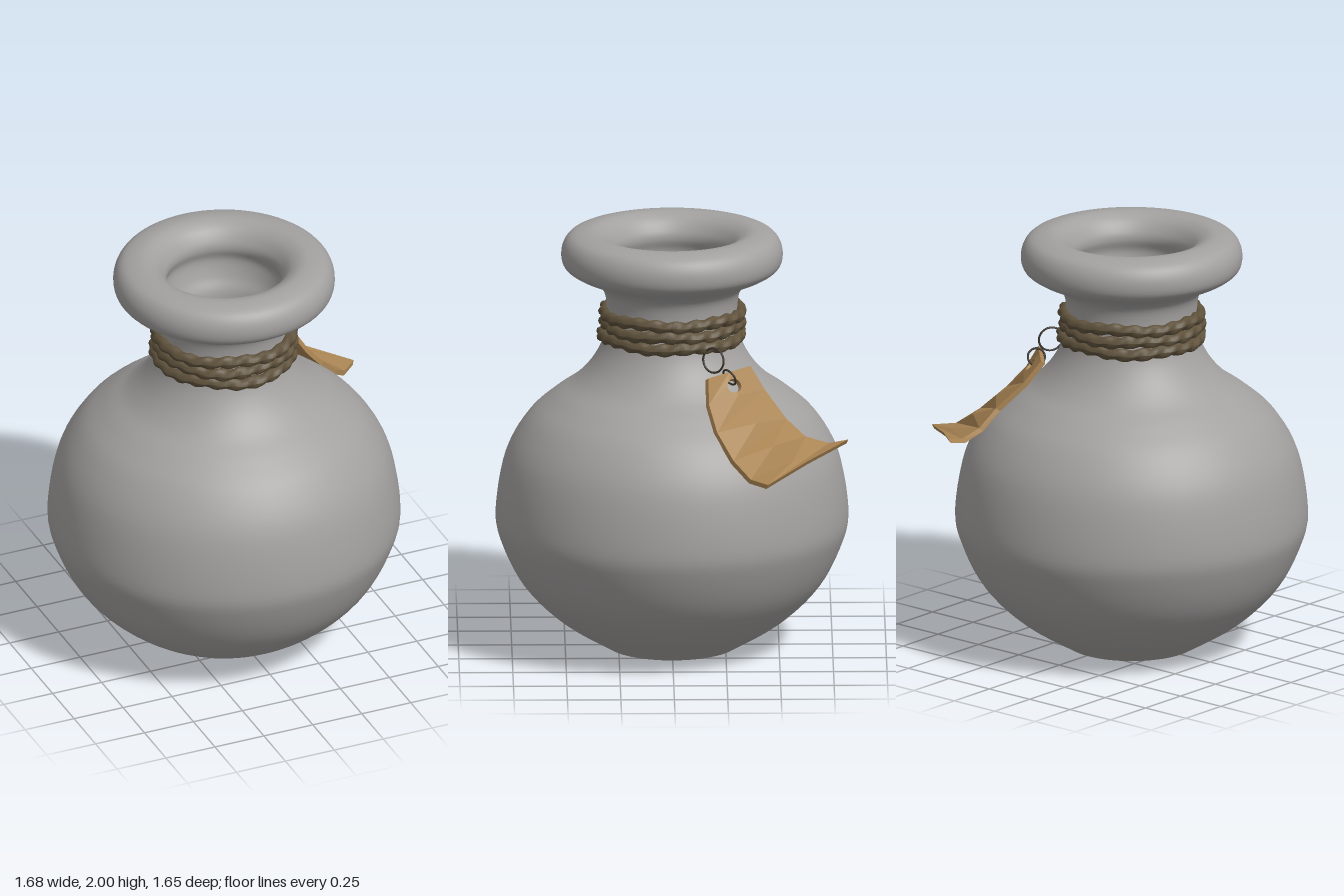
import * as THREE from 'three';

const V = (x, y, z) => new THREE.Vector3(x, y, z);
const AXIS_X = -0.015;

// Smooth lathe through a few [radius, height] points
function lathe(points, samples, material, name) {
  const curve = new THREE.SplineCurve(points.map(([r, y]) => new THREE.Vector2(r, y)));
  const profile = curve.getPoints(samples);
  profile.forEach((p) => { p.x = Math.max(p.x, 0); p.y = Math.max(p.y, 0); });
  const mesh = new THREE.Mesh(new THREE.LatheGeometry(profile, 72), material);
  mesh.name = name;
  return mesh;
}

// Torus around the y axis whose round section is reshaped into twisted strands
function ropeLoop(radius, thickness, phase) {
  const rings = 180, sides = 12;
  const geometry = new THREE.TorusGeometry(radius, thickness, sides, rings);
  const pos = geometry.attributes.position;
  for (let j = 0; j <= sides; j++) {
    for (let i = 0; i <= rings; i++) {
      const a = (i / rings) * Math.PI * 2, b = (j / sides) * Math.PI * 2;
      const t = thickness * (1 + 0.17 * Math.cos(2 * b - 22 * a + phase));
      const r = radius + t * Math.cos(b) + 0.004 * Math.sin(3 * a + phase);
      const y = t * Math.sin(b) + 0.005 * Math.sin(5 * a + phase);
      pos.setXYZ(j * (rings + 1) + i, r * Math.cos(a), y, -r * Math.sin(a));
    }
  }
  geometry.computeVertexNormals();
  return geometry;
}

// Thin wire ring lying in the plane spanned by two directions
function wireRing(center, u, v, radius, material, name) {
  const mesh = new THREE.Mesh(new THREE.TorusGeometry(radius, 0.005, 8, 32), material);
  const n = u.clone().cross(v).normalize();
  const x = u.clone().normalize();
  mesh.quaternion.setFromRotationMatrix(new THREE.Matrix4().makeBasis(x, n.clone().cross(x), n));
  mesh.position.copy(center);
  mesh.name = name;
  return mesh;
}

// Folded slab between two rows of left, middle and right points
function tagSegment(top, bottom, topNormal, bottomNormal, hole) {
  const shape = new THREE.Shape();
  [[0, 0], [0.5, 0], [1, 0], [1, 1], [0.5, 1], [0, 1]].forEach(([x, y], i) =>
    i ? shape.lineTo(x, y) : shape.moveTo(x, y));
  shape.closePath();
  if (hole) {
    const path = new THREE.Path();
    path.absellipse(0.5, 0.58, 0.13, 0.28, 0, Math.PI * 2, true);
    shape.holes.push(path);
  }
  const geometry = new THREE.ExtrudeGeometry(shape, { depth: 1, bevelEnabled: false, curveSegments: 10 });
  const pos = geometry.attributes.position;
  const along = (row, u) => (u < 0.5
    ? row[0].clone().lerp(row[1], u * 2)
    : row[1].clone().lerp(row[2], u * 2 - 1));
  for (let i = 0; i < pos.count; i++) {
    const u = pos.getX(i), v = pos.getY(i), w = pos.getZ(i);
    const p = along(top, u).lerp(along(bottom, u), v);
    p.addScaledVector(topNormal.clone().lerp(bottomNormal, v), 0.024 * (w - 1));
    pos.setXYZ(i, p.x, p.y, p.z);
  }
  geometry.computeVertexNormals();
  return geometry;
}

export function createModel() {
  const model = new THREE.Group();
  model.name = 'potionBottle';
  const mat = (name, color, extra = {}) => {
    const m = new THREE.MeshStandardMaterial({ color, ...extra });
    m.name = name;
    return m;
  };
  const glass = mat('grey glass', 0xa3a1a0);
  const green = mat('green liquid', 0x10dc10);
  const ropeBrown = mat('rope brown', 0x5f523c);
  const tagTan = mat('tag tan', 0xaa8554);
  const wire = mat('dark wire', 0x3c362e);

  const bottle = new THREE.Group();
  bottle.name = 'bottle';
  bottle.position.x = AXIS_X;
  model.add(bottle);

  // Glass shell: outside wall, rolled lip, then inside wall
  bottle.add(lathe([
    [0.305, 0], [0.53, 0.14], [0.7, 0.31], [0.8, 0.51], [0.825, 0.66], [0.78, 0.92],
    [0.68, 1.1], [0.56, 1.21], [0.45, 1.29], [0.365, 1.39], [0.315, 1.51], [0.31, 1.68], [0.355, 1.755],
    [0.455, 1.8], [0.51, 1.845], [0.515, 1.92], [0.475, 1.98], [0.385, 2], [0.32, 1.975],
    [0.28, 1.925], [0.27, 1.88], [0.285, 1.82], [0.265, 1.74], [0.23, 1.66], [0.23, 1.52],
    [0.29, 1.38], [0.4, 1.23], [0.62, 1.06], [0.72, 0.9], [0.765, 0.66], [0.64, 0.34],
    [0.3, 0.07], [0, 0.06],
  ], 160, glass, 'glassShell'));

  // Flat base
  const base = new THREE.Mesh(new THREE.CircleGeometry(0.305, 72), glass);
  base.rotation.x = Math.PI / 2;
  base.name = 'base';
  bottle.add(base);

  // Liquid with a gently domed surface
  bottle.add(lathe([
    [0, 0.09], [0.28, 0.1], [0.6, 0.36], [0.74, 0.66], [0.71, 0.86], [0.66, 0.9], [0.4, 0.96], [0, 1],
  ], 50, green, 'liquid'));

  // Three twisted rope loops round the neck
  [[0.32, 1.506], [0.315, 1.56], [0.315, 1.615]].forEach(([r, y], i) => {
    const loop = new THREE.Mesh(ropeLoop(r, 0.028, i * 2.1), ropeBrown);
    loop.position.y = y;
    loop.name = 'ropeLoop' + (i + 1);
    bottle.add(loop);
  });

  // Wire rings linking the rope and the tag
  model.add(wireRing(V(0.32, 1.46, -0.19), V(0.5, -0.65, -0.6), V(0.3, 0.7, -0.55), 0.058, wire, 'largeRing'));
  model.add(wireRing(V(0.345, 1.385, -0.265), V(0.4, 0.8, 0.1), V(0.5, -0.3, -0.6), 0.04, wire, 'smallRing'));

  // Torn, curled paper tag with a punched hole
  const tag = new THREE.Group();
  tag.name = 'tag';
  const rows = [
    [V(0.23, 1.41, -0.365), V(0.325, 1.405, -0.265), V(0.42, 1.4, -0.165)],
    [V(0.28, 1.31, -0.43), V(0.39, 1.31, -0.305), V(0.49, 1.29, -0.168)],
    [V(0.365, 1.19, -0.53), V(0.485, 1.2, -0.39), V(0.58, 1.18, -0.205)],
    [V(0.39, 1.11, -0.62), V(0.56, 1.11, -0.47), V(0.68, 1.07, -0.28)],
    [V(0.4, 1.08, -0.73), V(0.61, 1.05, -0.56), V(0.76, 1.0, -0.36)],
    [V(0.41, 1.1, -0.82), V(0.6, 1.05, -0.635), V(0.84, 0.995, -0.44)],
  ];
  const normals = [0.5, 0.5, 0.55, 0.75, 1.1, 1.3].map((y) => V(0.5, y, -0.5).normalize());
  for (let i = 0; i < rows.length - 1; i++) {
    const piece = new THREE.Mesh(
      tagSegment(rows[i], rows[i + 1], normals[i], normals[i + 1], i === 0), tagTan);
    piece.name = 'tagFold' + (i + 1);
    tag.add(piece);
  }
  model.add(tag);
  return model;
}
